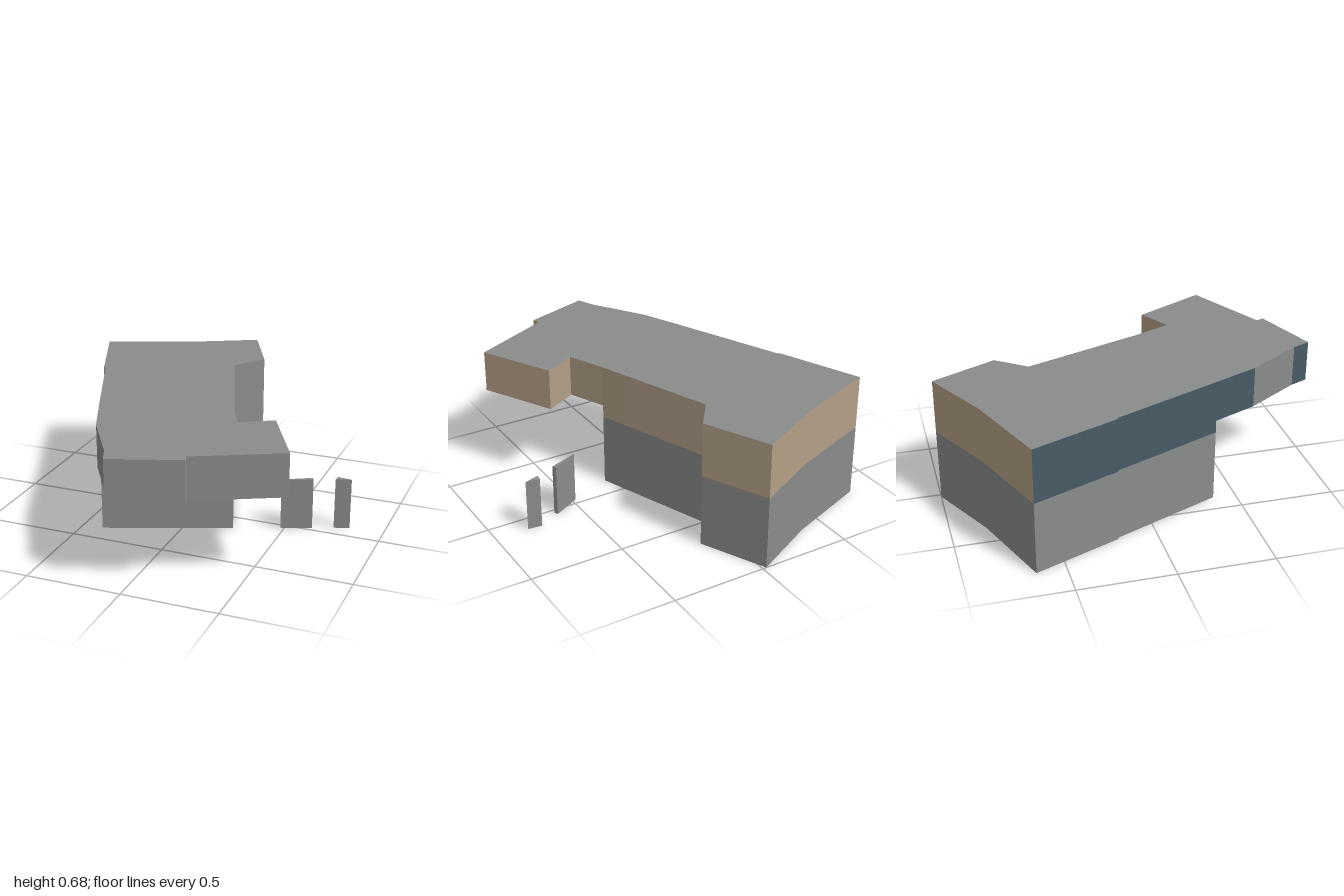
import * as THREE from 'three';
import { mergeGeometries } from 'three/addons/utils/BufferGeometryUtils.js';

const ROOF_Y = 0.68, BAND_Y = 0.39, SOFFIT_Y = 0.457;

const material = (name, color) => {
  const m = new THREE.MeshStandardMaterial({ color });
  m.name = name;
  return m;
};

// One upright wall from plan point p to q, facing outwards
function wall([px, pz], [qx, qz], y0, y1) {
  const dx = qx - px, dz = qz - pz;
  const g = new THREE.PlaneGeometry(Math.hypot(dx, dz), y1 - y0);
  g.rotateY(Math.atan2(-dz, dx));
  return g.translate((px + qx) / 2, (y0 + y1) / 2, (pz + qz) / 2);
}

// Flat slab face over a plan outline, facing up or down
function cap(points, y, up) {
  const s = up ? -1 : 1;
  const shape = new THREE.Shape(points.map(([x, z]) => new THREE.Vector2(x, s * z)));
  return new THREE.ShapeGeometry(shape).rotateX(s * Math.PI / 2).translate(0, y, 0);
}

export function createModel() {
  const mats = {
    grey: material('concrete grey', 0x8a8c8b),
    tan: material('tan cladding', 0xb3a087),
    blue: material('dark blue glazing', 0x485b65),
  };
  const group = new THREE.Group();
  const add = (name, geometry, mat) => {
    const mesh = new THREE.Mesh(geometry, mat);
    mesh.name = name;
    group.add(mesh);
  };

  // Plan corners [x, z, upper colour of the wall to the next corner]
  const body = [
    [0.25, 0.13, 'tan'], [0.2, -0.01, 'tan'], [0.02, -0.5, 'grey'],
    [0.14, -0.66, 'tan'], [-0.02, -1, 'tan'], [-0.37, -0.82, 'tan'],
    [-0.82, -0.65, 'blue'], [-0.64, -0.2, 'grey'], [-0.63, -0.2, 'blue'],
    [-0.39, 0.38, 'blue'],
  ];
  const overhang = [
    [-0.39, 0.38, 'blue'], [-0.29, 0.615, 'grey'], [-0.11, 0.9, 'blue'],
    [-0.07, 0.995, 'grey'], [0.285, 0.87, 'tan'], [0.27, 0.83, 'grey'],
    [0.7, 0.615, 'tan'], [0.505, 0.235, 'tan'], [0.335, 0.33, 'tan'],
    [0.25, 0.13, 'tan'],
  ];

  // Walls gathered by colour; the last corner of each list only closes it
  const lower = [], upper = { grey: [], tan: [], blue: [] };
  for (let i = 0; i < body.length - 1; i++) {
    lower.push(wall(body[i], body[i + 1], 0, BAND_Y));
    upper[body[i][2]].push(wall(body[i], body[i + 1], BAND_Y, ROOF_Y));
  }
  for (let i = 0; i < overhang.length - 1; i++) {
    upper[overhang[i][2]].push(wall(overhang[i], overhang[i + 1], SOFFIT_Y, ROOF_Y));
  }
  // Recessed front wall under the overhang
  lower.push(wall(body[body.length - 1], body[0], 0, SOFFIT_Y));

  add('lowerWalls', mergeGeometries(lower), mats.grey);
  for (const key of Object.keys(upper)) {
    add(key + 'UpperWalls', mergeGeometries(upper[key]), mats[key]);
  }

  // Horizontal faces
  add('roof', cap([...body, ...overhang.slice(1, -1)], ROOF_Y, true), mats.grey);
  add('floor', cap(body, 0, false), mats.grey);
  add('overhangSoffit', cap(overhang.slice(0, -1).concat([body[0]]), SOFFIT_Y, false), mats.grey);

  // Free-standing wedge pillars beside the building
  const pillars = [
    [[0.48, 0.035], [0.635, -0.025], [0.625, -0.045]],
    [[0.74, -0.07], [0.82, -0.095], [0.745, -0.105]],
  ];
  pillars.forEach((pts, i) => {
    const shape = new THREE.Shape(pts.map(([x, z]) => new THREE.Vector2(x, -z)));
    const g = new THREE.ExtrudeGeometry(shape, { depth: 0.278, bevelEnabled: false });
    add('wedgePillar' + (i + 1), g.rotateX(-Math.PI / 2), mats.grey);
  });

  return group;
}
